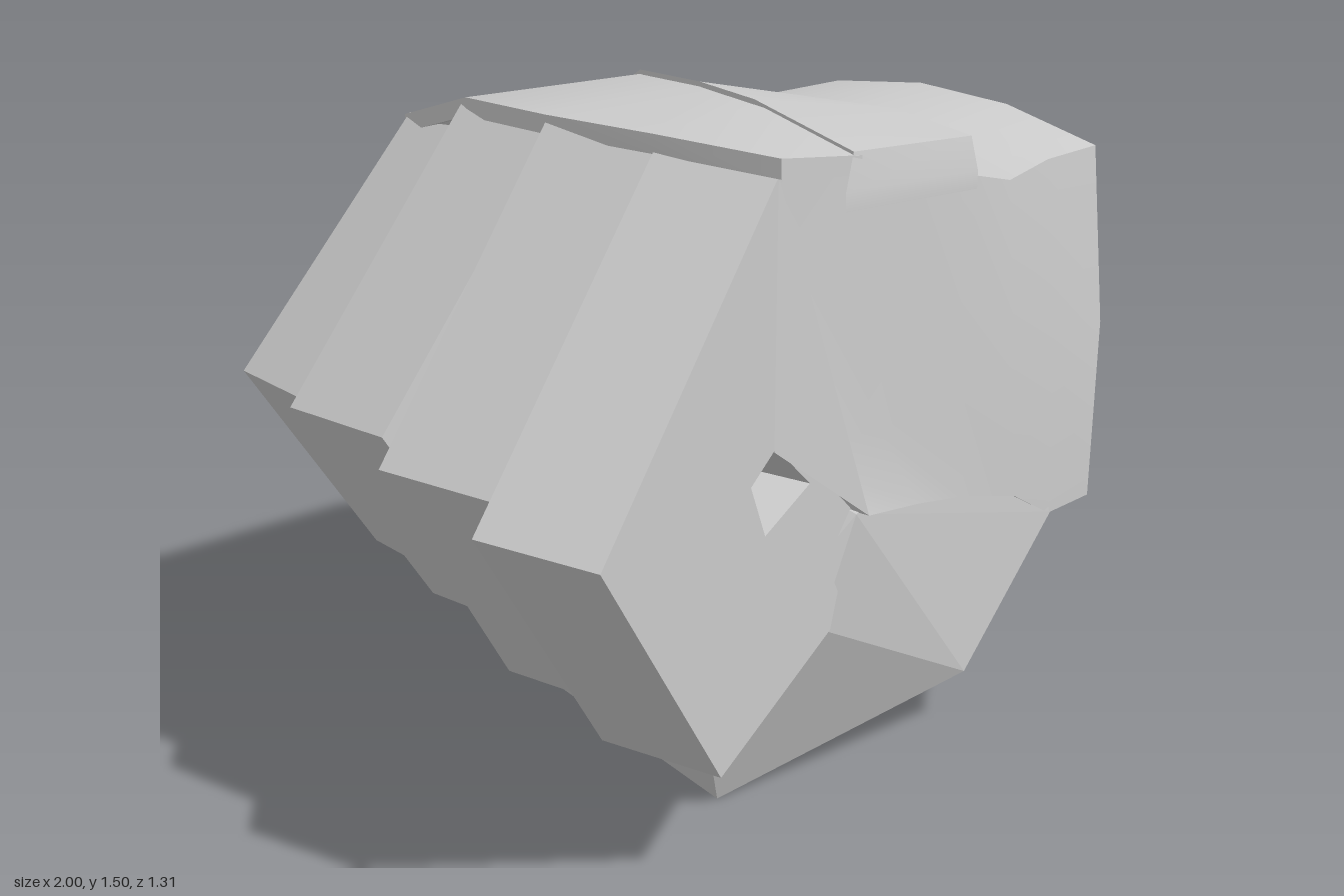
import * as THREE from 'three';
import { toCreasedNormals } from 'three/addons/utils/BufferGeometryUtils.js';
import { ConvexGeometry } from 'three/addons/geometries/ConvexGeometry.js';

const smooth = new THREE.MeshStandardMaterial({ color: 0xcccccc, side: THREE.DoubleSide });
const flat = new THREE.MeshStandardMaterial({ color: 0xcccccc, side: THREE.DoubleSide, flatShading: true });
const lerp = THREE.MathUtils.lerp;

function mesh(name, geometry, material = flat) {
  const m = new THREE.Mesh(geometry, material);
  m.name = name;
  return m;
}

// Skin a list of equal-length rings and close both ends.
function loft(rings) {
  const n = rings[0].length, last = (rings.length - 1) * n, index = [];
  for (let s = 0; s < rings.length - 1; s++) {
    for (let i = 0; i < n; i++) {
      const a = s * n + i, b = s * n + (i + 1) % n;
      index.push(a, b, b + n, a, b + n, a + n);
    }
  }
  for (let i = 1; i < n - 1; i++) {
    index.push(0, i + 1, i, last, last + i, last + i + 1);
  }
  const g = new THREE.BufferGeometry();
  g.setAttribute('position', new THREE.Float32BufferAttribute(rings.flat(2), 3));
  g.setIndex(index);
  return toCreasedNormals(g, 0.5);
}

// Thick band between two edge lines running from +z to -z.
function band(edgeA, edgeB, thick) {
  return loft(edgeA.map((a, i) => {
    const b = edgeB[i];
    return [a, b, [b[0], b[1] - thick, b[2]], [a[0], a[1] - thick, a[2]]];
  }));
}

const hull = (points) => new ConvexGeometry(points.map((p) => new THREE.Vector3(...p)));

// Cross-section of wrist or palm: five points on top, three below, one at each side.
function section([xf, xb, xBot, zf, zb, yf, ym, yb, ySide, botF, botB, flare]) {
  const ring = [];
  for (let i = 0; i < 5; i++) {
    const t = i / 4;
    const ridge = 4 * t * (1 - t) * (ym - (yf + yb) / 2);
    ring.push([lerp(xf, xb, t * t), lerp(yf, yb, t) + ridge, lerp(zf, zb, t)]);
  }
  ring.push([xb, ySide, zb]);
  ring.push([xBot, botB, zb], [xBot, lerp(botF, botB, 0.1), lerp(zf, zb, 0.43)], [xBot, botF, zf + flare]);
  ring.push([xf, ySide, zf + flare * 1.3]);
  return ring;
}

// Curled finger in side view, measured from its knuckle, with a small gap inside the curl.
function fingerGeometry(width, kx, ky, tip) {
  const scaled = (pts) => pts.map(([x, y]) => new THREE.Vector2(x * kx, y * ky));
  const shape = new THREE.Shape(scaled([
    [0, 0], [-0.6, -0.64], [-0.17, -1.22], ...tip, [0.02, -0.55], [0.05, -0.05],
  ]));
  shape.holes.push(new THREE.Path(scaled([[-0.09, -0.63], [0, -0.575], [0.14, -0.69], [-0.03, -0.75]])));
  return new THREE.ExtrudeGeometry(shape, { depth: width, bevelEnabled: false });
}

export function createModel() {
  const fist = new THREE.Group();
  fist.name = 'fist';

  // Wrist and palm in one skin
  fist.add(mesh('wristAndPalm', loft([
    [1, 1, 1, 0.52, -0.45, 1.26, 1.35, 1.26, 0.84, 0.4, 0.52, 0.03],
    [0.8, 0.8, 0.83, 0.51, -0.445, 1.26, 1.33, 1.26, 0.84, 0.4, 0.52, 0.03],
    [0.6, 0.64, 0.64, 0.53, -0.46, 1.25, 1.3, 1.25, 0.83, 0.5, 0.53, 0.025],
    [0.36, 0.44, 0.4, 0.555, -0.48, 1.31, 1.39, 1.31, 0.82, 0.57, 0.59, 0.01],
    [0.02, 0.16, 0.18, 0.585, -0.525, 1.39, 1.46, 1.36, 0.83, 0.62, 0.63, 0],
    [-0.4, -0.18, -0.06, 0.617, -0.55, 1.45, 1.47, 1.36, 0.9, 0.67, 0.72, 0],
  ].map(section)), smooth));

  // Four fingers: name, knuckle x y z, width, splay, tilt, length scale, height scale, tip outline
  const roundTip = [[0.25, -1.05], [0.33, -0.81]];
  for (const [name, x, y, z, width, splay, tilt, kx, ky, tip] of [
    ['indexFinger', -0.4, 1.48, 0.33, 0.287, 0.085, 0.022, 1, 1, roundTip],
    ['middleFinger', -0.385, 1.48, 0.03, 0.3, 0, 0, 0.85, 0.95, roundTip],
    ['ringFinger', -0.29, 1.46, -0.29, 0.3, -0.12, -0.022, 0.82, 0.88, roundTip],
    ['littleFinger', -0.18, 1.39, -0.55, 0.285, -0.25, 0, 0.74, 0.81, [[0.45, -0.96]]],
  ]) {
    const finger = mesh(name, fingerGeometry(width, kx, ky, tip));
    finger.position.set(x, y, z);
    finger.rotation.set(tilt, splay, 0);
    fist.add(finger);
  }

  // Thumb: base running along the palm, tip folded across under the fingers
  fist.add(mesh('thumbBase', hull([
    [0.84, 0.4, 0.54], [0.84, 0.41, 0.11], [0.6, 0.82, 0.545], [-0.07, 0.67, 0.592], [0.03, 0.74, 0.12],
    [0.44, 0.13, 0.56], [0.36, 0.17, 0.2], [-0.05, 0.16, 0.15], [-0.22, 0, 0.35], [-0.15, 0.43, 0.56],
    [-0.41, 0.33, 0.45],
  ])));
  fist.add(mesh('thumbTip', hull([
    [-0.05, 0.16, 0.15], [-0.22, 0, 0.35], [-0.41, 0.33, 0.45], [-0.15, 0.43, 0.5], [-0.09, 0.48, 0.12],
    [-0.24, 0.17, -0.14], [-0.06, 0.27, -0.13], [-0.14, 0.48, -0.06], [-0.32, 0.45, -0.08],
  ])));

  // Plate over the knuckles and back of the hand
  const strapFront = [[-0.14, 1.45, 0.61], [-0.02, 1.495, 0.28], [0.12, 1.482, 0.03], [0.3, 1.447, -0.28], [0.48, 1.36, -0.485]];
  fist.add(mesh('knucklePlate', band(
    [[-0.41, 1.485, 0.63], [-0.42, 1.495, 0.33], [-0.39, 1.49, 0.03], [-0.3, 1.475, -0.27], [-0.185, 1.385, -0.56]],
    strapFront.map(([x, y, z]) => [x + 0.03, y - 0.012, z]), 0.04), smooth));

  // Strap laid diagonally over the hand, both ends hanging down the sides
  fist.add(mesh('strap', band(
    [[-0.19, 1.38, 0.628], ...strapFront, [0.49, 1.25, -0.495]],
    [[0.37, 1.32, 0.585], [0.38, 1.39, 0.56], [0.44, 1.41, 0.33], [0.54, 1.385, 0.03], [0.6, 1.36, -0.25],
      [0.67, 1.295, -0.46], [0.66, 1.22, -0.48]], 0.04), smooth));

  return fist;
}
